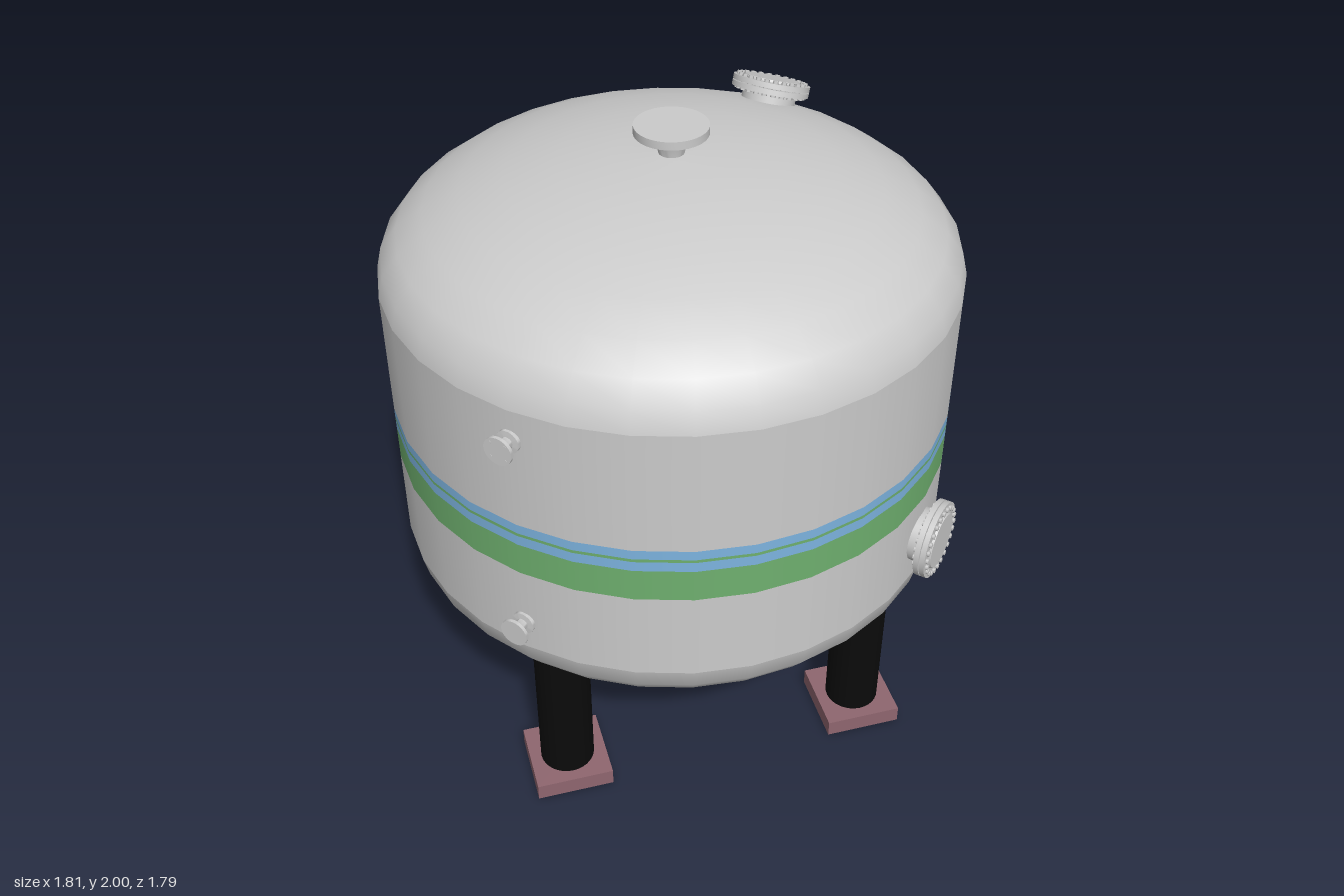
import * as THREE from 'three';
import { toCreasedNormals } from 'three/addons/utils/BufferGeometryUtils.js';

const CX = -0.036, CZ = -0.026; // tank axis
const R = 0.867, HEAD = 0.345, Y0 = 0.7, Y1 = 1.57; // shell radius, head height, shell ends
const UP = new THREE.Vector3(0, 1, 0);

const material = (color) => new THREE.MeshStandardMaterial({ color });
const grey = material(0xcccccc);
const green = material(0x6fb06f);
const blue = material(0x7db4e0);
const black = material(0x0b0b0b);
const mauve = material(0x8f666f);

function add(parent, name, geometry, mat = grey) {
  const mesh = new THREE.Mesh(geometry, mat);
  mesh.name = name;
  parent.add(mesh);
  return mesh;
}

// Profile points run from bottom to top
const lathe = (points, segments = 32) =>
  new THREE.LatheGeometry(points.map(([x, y]) => new THREE.Vector2(x, y)), segments);
const sharpLathe = (points) => toCreasedNormals(lathe(points), 0.6);

// Places a fitting built along +y so that it points along dir
function aim(object, x, y, z, dir) {
  object.position.set(x, y, z);
  object.quaternion.setFromUnitVectors(UP, dir.clone().normalize());
  return object;
}

// Bolted manway, outer face at y = 0, neck going down
function manway(name) {
  const g = new THREE.Group();
  g.name = name;
  add(g, 'neck', new THREE.CylinderGeometry(0.085, 0.085, 0.07, 32, 1, true)).position.y = -0.07;
  add(g, 'flange', new THREE.CylinderGeometry(0.122, 0.122, 0.016, 32)).position.y = -0.036;
  add(g, 'cover', sharpLathe([[0, -0.025], [0.122, -0.025], [0.122, -0.009], [0.09, -0.009], [0.086, -0.002], [0, -0.002]]));
  const bolt = new THREE.CylinderGeometry(0.0085, 0.0085, 0.05, 6);
  for (let i = 0; i < 24; i++) {
    const a = (i / 24) * Math.PI * 2;
    add(g, 'bolt', bolt).position.set(0.105 * Math.cos(a), -0.026, 0.105 * Math.sin(a));
  }
  return g;
}

// Small front nozzle, outer face at y = 0
function smallNozzle(name, bolted) {
  const g = new THREE.Group();
  g.name = name;
  add(g, 'body', sharpLathe([[0.036, -0.07], [0.036, -0.046], [0.018, -0.044], [0.018, -0.03], [0.027, -0.01], [0.044, -0.01], [0.044, 0], [0, 0]]));
  if (bolted) {
    for (let i = 0; i < 4; i++) {
      const a = Math.PI / 4 + (i * Math.PI) / 2;
      add(g, 'bolt', new THREE.CylinderGeometry(0.006, 0.006, 0.014, 8))
        .position.set(0.033 * Math.cos(a), -0.006, 0.033 * Math.sin(a));
    }
  }
  return g;
}

export function createModel() {
  const model = new THREE.Group();
  model.name = 'storageTank';
  const tank = new THREE.Group();
  tank.name = 'tank';
  tank.position.set(CX, 0, CZ);
  model.add(tank);

  // Elliptical heads
  const top = [], bottom = [];
  for (let i = 0; i <= 8; i++) {
    const a = (i / 8) * Math.PI / 2;
    top.push([R * Math.cos(a), Y1 + HEAD * Math.sin(a)]);
    bottom.push([R * Math.sin(a), Y0 - HEAD * Math.cos(a)]);
  }
  top[8][0] = 0;
  add(tank, 'topHead', lathe(top));
  add(tank, 'bottomHead', lathe(bottom));

  // Shell courses and painted bands
  const courses = [
    ['lowerShell', Y0, 0.993, grey],
    ['greenBand', 0.993, 1.1, green],
    ['lowerBlueBand', 1.1, 1.133, blue],
    ['greenStripe', 1.133, 1.143, green],
    ['upperBlueBand', 1.143, 1.174, blue],
    ['upperShell', 1.174, Y1, grey],
  ];
  for (const [name, a, b, mat] of courses) add(tank, name, lathe([[R, a], [R, b]]), mat);

  // Legs on square base plates, one on each axis
  for (let i = 0; i < 4; i++) {
    const leg = new THREE.Group();
    leg.name = 'leg' + (i + 1);
    const a = (i * Math.PI) / 2;
    leg.position.set(0.695 * Math.sin(a), 0, 0.695 * Math.cos(a));
    add(leg, 'post', new THREE.CylinderGeometry(0.086, 0.086, 0.53, 32), black).position.y = 0.315;
    const plate = add(leg, 'basePlate', new THREE.BoxGeometry(0.245, 0.056, 0.245), mauve);
    plate.position.y = 0.028;
    plate.rotation.y = Math.PI / 4;
    tank.add(leg);
  }

  // Top nozzle
  add(tank, 'topNozzle', sharpLathe([[0.038, 1.89], [0.038, 1.915], [0.055, 1.975], [0.109, 1.975], [0.109, 2], [0, 2]]));

  // Manways: sloping roof, left side, underside
  const tilt = THREE.MathUtils.degToRad(22);
  tank.add(
    aim(manway('roofManway'), 0, 1.876, -0.643, new THREE.Vector3(0, Math.cos(tilt), -Math.sin(tilt))),
    aim(manway('sideManway'), 0.938, 0.844, 0, new THREE.Vector3(1, 0, 0)),
    aim(manway('bottomManway'), 0, 0.286, 0, new THREE.Vector3(0, -1, 0)),
  );

  // Front nozzles
  const front = new THREE.Vector3(0, 0, 1);
  tank.add(
    aim(smallNozzle('upperFrontNozzle', true), 0, 1.47, 0.921, front),
    aim(smallNozzle('lowerFrontNozzle', false), 0, 0.8, 0.921, front),
  );
  return model;
}
